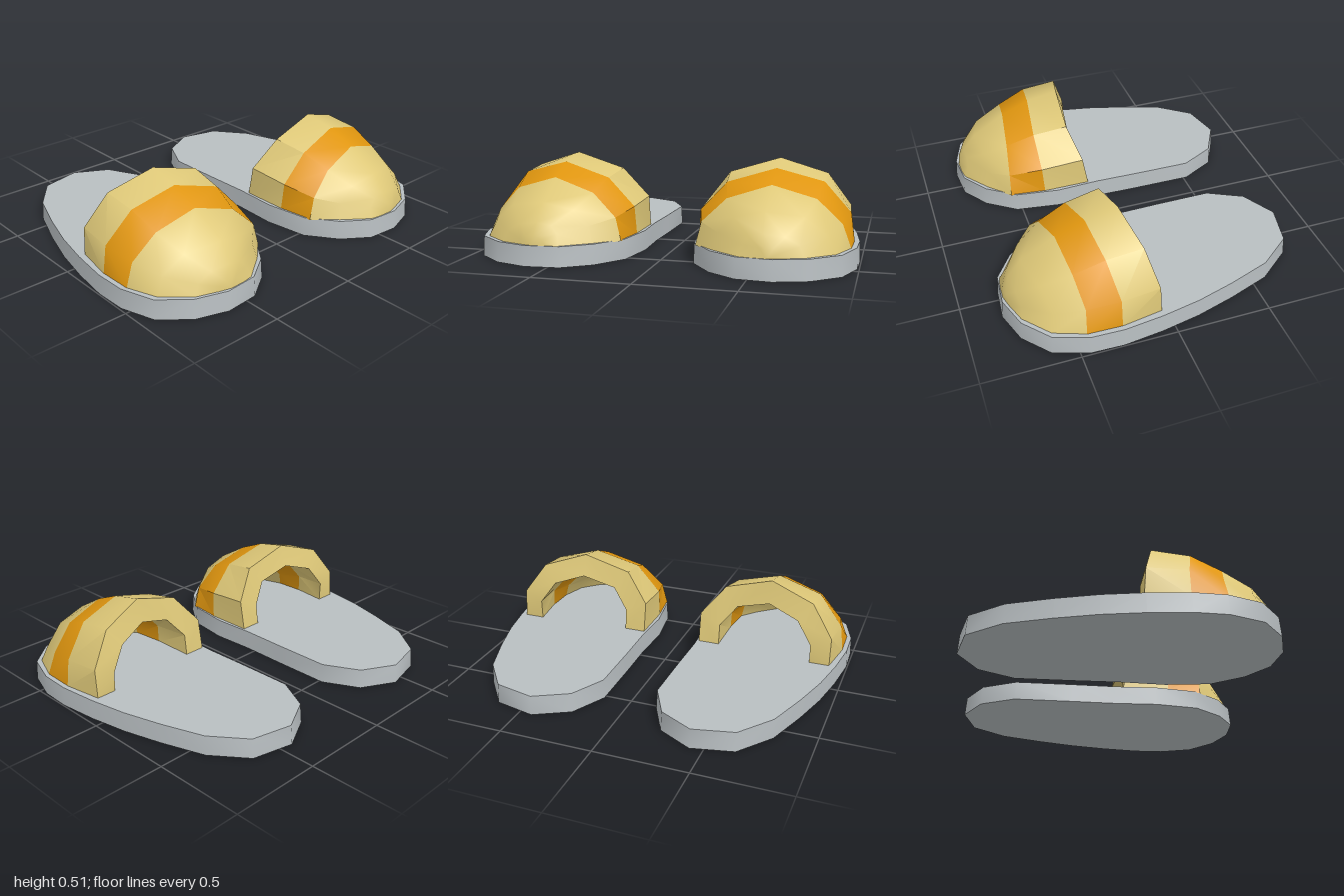
import * as THREE from 'three';
import { toCreasedNormals } from 'three/addons/utils/BufferGeometryUtils.js';

const material = (name, color) => new THREE.MeshStandardMaterial({ name, color });

// Skin rows of [x, y, z] points; side -1 mirrors in x, stripMaterial picks a material per strip
function loft(rows, side, closed, crease, stripMaterial = () => 0) {
  const n = rows[0].length;
  const index = [];
  const geo = new THREE.BufferGeometry();
  const same = (a, b) => a.every((v, k) => v === b[k]);
  const tri = (...c) => {
    const [p, q, r] = c.map(i => rows[Math.floor(i / n)][i % n]);
    if (same(p, q) || same(q, r) || same(p, r)) return;
    index.push(...(side > 0 ? c : c.reverse()));
  };
  for (let i = 0; i < rows.length - 1; i++) {
    const start = index.length;
    for (let j = 0; j < (closed ? n : n - 1); j++) {
      const k = (j + 1) % n;
      const a = i * n + j, b = i * n + k, c = a + n, d = b + n;
      tri(a, b, c);
      tri(b, d, c);
    }
    geo.addGroup(start, index.length - start, stripMaterial(i));
  }
  const pos = rows.flat().flatMap(([x, y, z]) => [x * side, y, z]);
  geo.setAttribute('position', new THREE.Float32BufferAttribute(pos, 3));
  geo.setIndex(index);
  return toCreasedNormals(geo, crease);
}

// Sole outline [x, z], from the heel round the outer edge to the toe and back
const OUTLINE = [
  [0.43, -0.81], [0.65, -0.76], [0.79, -0.58], [0.87, -0.35], [0.93, -0.14], [0.97, 0.07],
  [0.995, 0.28], [0.99, 0.45], [0.93, 0.63], [0.79, 0.75], [0.62, 0.805], [0.44, 0.79],
  [0.295, 0.69], [0.18, 0.53], [0.145, 0.29], [0.155, 0.05], [0.15, -0.2], [0.148, -0.52], [0.245, -0.71],
];

// Arched sections of the upper, from the rear rim to the toe, outer foot to inner foot
const SECTIONS = [
  [[0.93, 0.1, 0.065], [0.93, 0.26, 0.075], [0.81, 0.43, 0.12], [0.565, 0.51, 0.17], [0.3, 0.43, 0.185], [0.17, 0.27, 0.13], [0.17, 0.1, 0.1]],
  [[0.965, 0.1, 0.28], [0.945, 0.25, 0.28], [0.81, 0.41, 0.315], [0.57, 0.475, 0.345], [0.32, 0.4, 0.375], [0.18, 0.25, 0.37], [0.17, 0.1, 0.36]],
  [[0.96, 0.1, 0.46], [0.915, 0.22, 0.45], [0.79, 0.345, 0.475], [0.57, 0.41, 0.5], [0.35, 0.34, 0.53], [0.225, 0.22, 0.55], [0.195, 0.1, 0.555]],
  [[0.9, 0.1, 0.62], [0.86, 0.19, 0.6], [0.75, 0.28, 0.63], [0.565, 0.305, 0.68], [0.41, 0.27, 0.66], [0.33, 0.19, 0.65], [0.31, 0.1, 0.67]],
  [[0.765, 0.1, 0.735], [0.74, 0.16, 0.725], [0.67, 0.2, 0.735], [0.57, 0.215, 0.75], [0.5, 0.2, 0.745], [0.465, 0.16, 0.75], [0.45, 0.1, 0.775]],
  [[0.66, 0.1, 0.77], [0.65, 0.13, 0.77], [0.62, 0.15, 0.775], [0.58, 0.155, 0.78], [0.56, 0.15, 0.78], [0.53, 0.13, 0.78], [0.51, 0.1, 0.785]],
];
SECTIONS.push(SECTIONS[0].map(() => [0.59, 0.1, 0.788]));

function createSlipper(side, grey, fabric) {
  const slipper = new THREE.Group();
  slipper.name = side > 0 ? 'leftSlipper' : 'rightSlipper';

  // Sole: flat slab closed to a centre point above and below
  const ring = (y, s) => OUTLINE.map(([x, z]) => [0.57 + (x - 0.57) * s, y, z * s]);
  const topY = 0.105;
  const sole = new THREE.Mesh(loft([ring(topY, 0), ring(topY, 0.99), ring(0, 1), ring(0, 0)], side, true, 0.8), grey);
  sole.name = 'sole';

  // Upper: inner lining, thick rear rim and outer shell in one skin
  const lining = SECTIONS.map((row, i) => row.map(([x, y, z]) => [
    0.565 + (x - 0.565) * 0.7, 0.1 + (y - 0.1) * 0.7, z - 0.09 * (y - 0.1) - 0.02 * i,
  ]));
  const skin = [...lining.reverse(), ...SECTIONS];
  const band = i => (i === 4 || i === 8 ? 1 : 0);
  const upper = new THREE.Mesh(loft(skin, side, false, 0.62, band), fabric);
  upper.name = 'upper';

  slipper.add(sole, upper);
  return slipper;
}

export function createModel() {
  const grey = material('sole grey', 0xb8bec1);
  const fabric = [material('straw yellow', 0xdec878), material('band orange', 0xe0960f)];
  const model = new THREE.Group();
  model.name = 'slippers';
  for (const side of [1, -1]) model.add(createSlipper(side, grey, fabric));
  return model;
}
